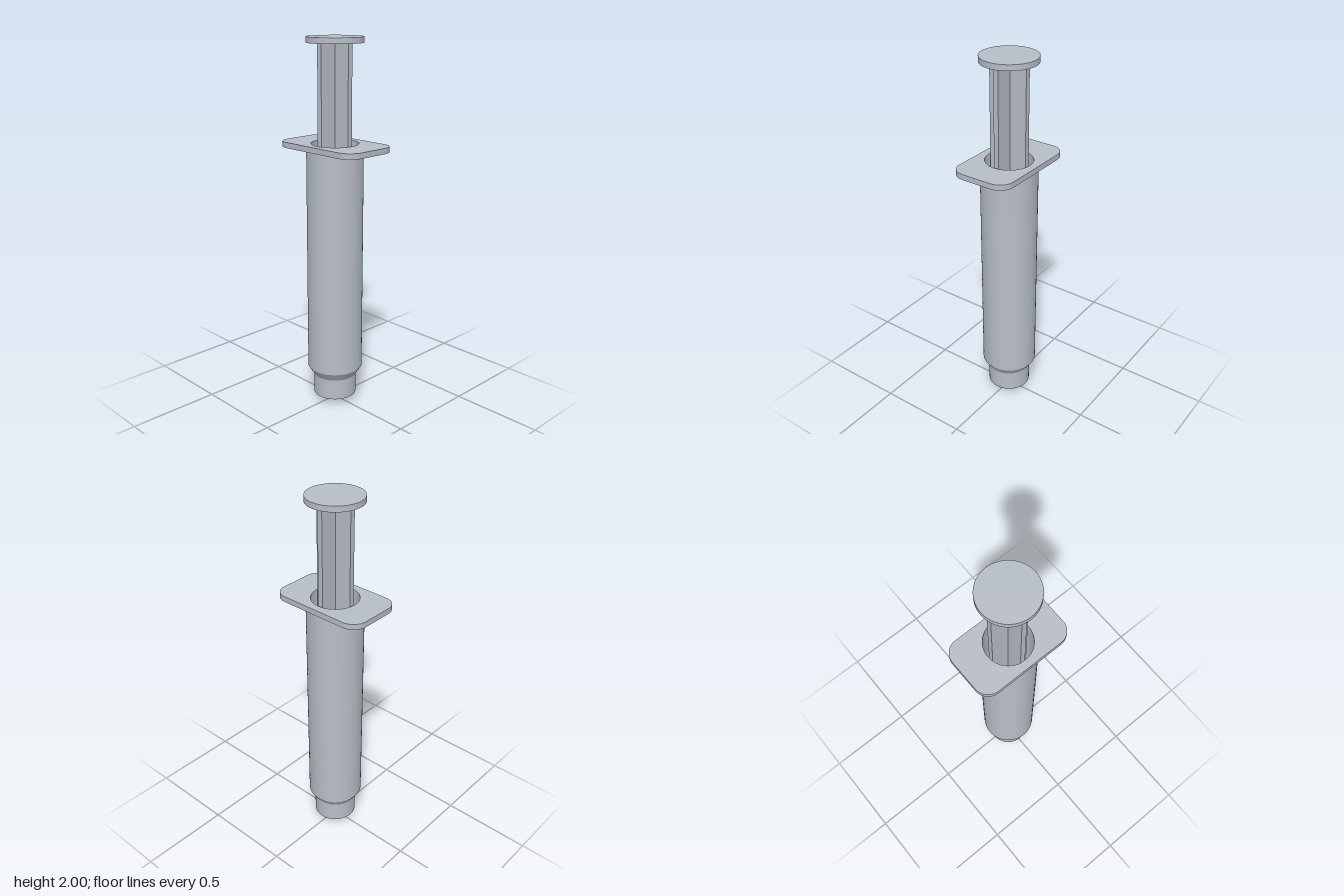
import * as THREE from 'three';
import { toCreasedNormals } from 'three/addons/utils/BufferGeometryUtils.js';

const SEGMENTS = 64;

const plastic = new THREE.MeshStandardMaterial({ color: 0xb8bec8 });
plastic.name = 'pale grey plastic';

function part(name, geometry, y = 0) {
  const mesh = new THREE.Mesh(geometry, plastic);
  mesh.name = name;
  mesh.position.y = y;
  return mesh;
}

// Revolve [radius, height] pairs, keeping the corners sharp
function revolve(profile) {
  const points = profile.map(([r, y]) => new THREE.Vector2(r, y));
  return toCreasedNormals(new THREE.LatheGeometry(points, SEGMENTS), 0.45);
}

// Extrude a shape drawn in plan upwards
function extrudeUp(shape, height) {
  const geometry = new THREE.ExtrudeGeometry(shape, {
    depth: height, bevelEnabled: false, curveSegments: 32
  });
  geometry.rotateX(-Math.PI / 2);
  return toCreasedNormals(geometry, 0.45);
}

// Rounded finger plate with the barrel opening
function flangeShape(w, d, r, holeRadius) {
  const shape = new THREE.Shape();
  shape.absarc(w - r, d - r, r, 0, Math.PI / 2);
  shape.absarc(-w + r, d - r, r, Math.PI / 2, Math.PI);
  shape.absarc(-w + r, -d + r, r, Math.PI, Math.PI * 1.5);
  shape.absarc(w - r, -d + r, r, Math.PI * 1.5, Math.PI * 2);
  shape.closePath();
  const hole = new THREE.Path();
  hole.absarc(0, 0, holeRadius, 0, Math.PI * 2, true);
  shape.holes.push(hole);
  return shape;
}

// Plus-shaped section of the plunger rod
function crossShape(reach, half) {
  const corners = [];
  for (let i = 0; i < 4; i++) {
    const turn = (i * Math.PI) / 2;
    for (const [x, y] of [[reach, -half], [reach, half], [half, half]]) {
      corners.push(new THREE.Vector2(x, y).rotateAround(new THREE.Vector2(), turn));
    }
  }
  return new THREE.Shape(corners);
}

export function createModel() {
  const model = new THREE.Group();
  model.name = 'syringe';

  // Hollow barrel with the nozzle, its bore and the surrounding collar
  model.add(part('barrel', revolve([
    [0.02, 0], [0.045, 0], [0.045, 0.15], [0.09, 0.15], [0.09, 0.04],
    [0.117, 0.04], [0.117, 0.155], [0.15, 0.205], [0.15, 1.435],
    [0.125, 1.435], [0.125, 0.24], [0.02, 0.2], [0.02, 0]
  ])));
  model.add(part('fingerFlange', extrudeUp(flangeShape(0.274, 0.166, 0.08, 0.125), 0.03), 1.43));

  // Plunger: ribbed rod, thumb disc and the stopper inside the barrel
  const plunger = new THREE.Group();
  plunger.name = 'plunger';
  plunger.add(part('ribbedRod', extrudeUp(crossShape(0.109, 0.014), 1.19), 0.78));
  plunger.add(part('thumbDisc', new THREE.CylinderGeometry(0.148, 0.148, 0.03, SEGMENTS), 1.985));
  plunger.add(part('stopper', new THREE.CylinderGeometry(0.124, 0.124, 0.08, SEGMENTS), 0.74));
  model.add(plunger);

  return model;
}
